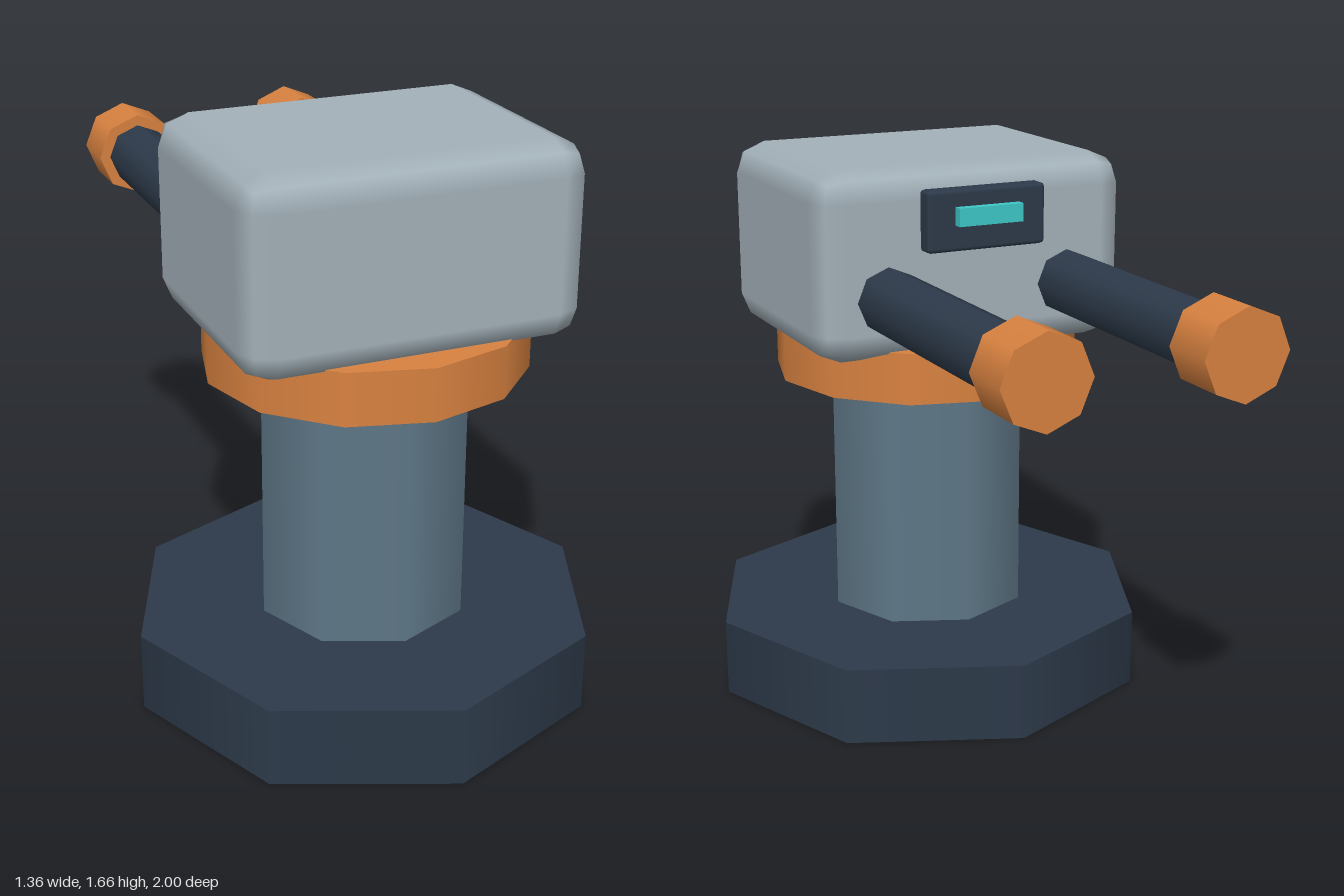
import * as THREE from 'three';
import { RoundedBoxGeometry } from 'three/addons/geometries/RoundedBoxGeometry.js';

const mat = (color) => new THREE.MeshStandardMaterial({ color });

export function createModel() {
  const group = new THREE.Group();
  const navy = mat(0x2d3a4a), steel = mat(0x5f7888), orange = mat(0xd98240);
  const shell = mat(0xa3b1b9), teal = mat(0x3fc8c8);
  const axisZ = 0.318; // z of the pedestal's vertical axis

  function add(name, geometry, material, x, y, z) {
    const mesh = new THREE.Mesh(geometry, material);
    mesh.name = name;
    mesh.position.set(x, y, z);
    group.add(mesh);
    return mesh;
  }

  // upright prism between two heights
  function upright(name, radius, y0, y1, sides, material) {
    add(name, new THREE.CylinderGeometry(radius, radius, y1 - y0, sides), material, 0, (y0 + y1) / 2, axisZ);
  }

  // prism lying along z
  function lengthwise(name, radius, z0, z1, x, material) {
    const geometry = new THREE.CylinderGeometry(radius, radius, Math.abs(z1 - z0), 8).rotateX(-Math.PI / 2);
    add(name, geometry, material, x, 1.29, (z0 + z1) / 2);
  }

  // pedestal
  upright('base', 0.682, 0, 0.234, 8, navy);
  upright('column', 0.309, 0.234, 0.98, 8, steel);
  upright('turntable', 0.462, 0.98, 1.132, 12, orange);

  // turret housing
  add('housing', new RoundedBoxGeometry(0.976, 0.555, 0.768, 1, 0.09), shell, 0, 1.378, 0.321);

  // sensor on the rear face
  add('sensorPlate', new RoundedBoxGeometry(0.37, 0.176, 0.06, 1, 0.012), navy, 0, 1.508, -0.082);
  add('sensorLens', new THREE.BoxGeometry(0.2, 0.052, 0.04), teal, 0, 1.522, -0.12);

  // twin barrels with muzzles
  for (const side of [1, -1]) {
    const label = side > 0 ? 'left' : 'right';
    lengthwise(label + 'Barrel', 0.095, 0, -0.86, side * 0.284, navy);
    lengthwise(label + 'Muzzle', 0.128, -0.836, -1, side * 0.284, orange);
  }
  return group;
}
